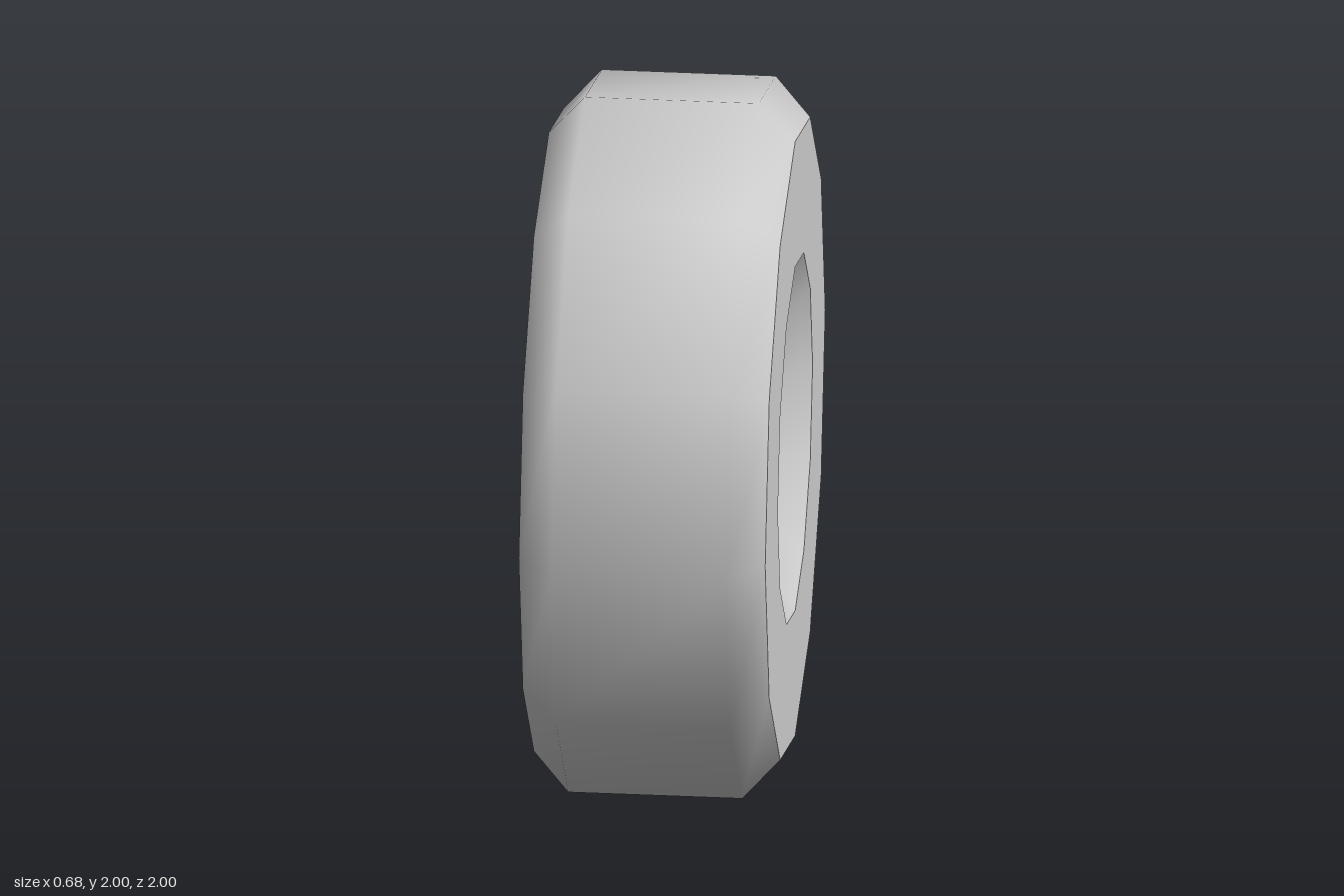
import * as THREE from 'three';
import { mergeVertices } from 'three/addons/utils/BufferGeometryUtils.js';

const SIDES = 12;
const material = new THREE.MeshStandardMaterial({ color: 0xcccccc });
const flatMaterial = new THREE.MeshStandardMaterial({ color: 0xcccccc, flatShading: true });

// Turns a [radius, x] profile around the x axis, smooth within the piece
function turned(name, profile) {
  let geometry = new THREE.LatheGeometry(profile.map(([r, x]) => new THREE.Vector2(r, x)), SIDES);
  geometry.deleteAttribute('normal');
  geometry.deleteAttribute('uv');
  geometry = mergeVertices(geometry, 1e-4);
  geometry.computeVertexNormals();
  geometry.rotateZ(-Math.PI / 2);
  const mesh = new THREE.Mesh(geometry, material);
  mesh.name = name;
  return mesh;
}

export function createModel() {
  const model = new THREE.Group();
  model.name = 'wheel';

  const half = 0.34;      // half of the tyre width
  const shoulder = 0.24;  // where the bevel begins
  const sideR = 0.89;     // outer radius of the side walls
  const rimR = 0.515;     // radius of the openings
  const floorX = -0.23;   // hub floor on the bolted side
  const floorR = 0.39;

  const wheel = new THREE.Group();
  wheel.name = 'wheelBody';
  wheel.position.y = 1;
  model.add(wheel);

  // Tyre: tread with bevelled shoulders and two flat side walls
  wheel.add(turned('tread', [[sideR, -half], [1, -shoulder], [1, shoulder], [sideR, half]]));
  wheel.add(turned('leftSideWall', [[sideR, half], [rimR, half]]));
  wheel.add(turned('rightSideWall', [[rimR, -half], [sideR, -half]]));

  // Conical dish on one side, shallow hub recess on the other
  wheel.add(turned('dish', [[rimR, half], [0, half - 0.38]]));
  wheel.add(turned('hubWall', [[floorR, floorX], [rimR, -half]]));
  wheel.add(turned('hubFloor', [[0, floorX], [floorR, floorX]]));

  // Ring of six hexagonal wheel nuts standing on the hub floor
  const nutGeometry = new THREE.CylinderGeometry(0.072, 0.072, 0.08, 6).rotateZ(-Math.PI / 2);
  const nuts = new THREE.Group();
  nuts.name = 'wheelNuts';
  for (let i = 0; i < 6; i++) {
    const a = (i * Math.PI) / 3;
    const nut = new THREE.Mesh(nutGeometry, flatMaterial);
    nut.name = 'wheelNut';
    nut.position.set(floorX - 0.025, 0.26 * Math.cos(a), 0.26 * Math.sin(a));
    nuts.add(nut);
  }
  wheel.add(nuts);

  return model;
}
